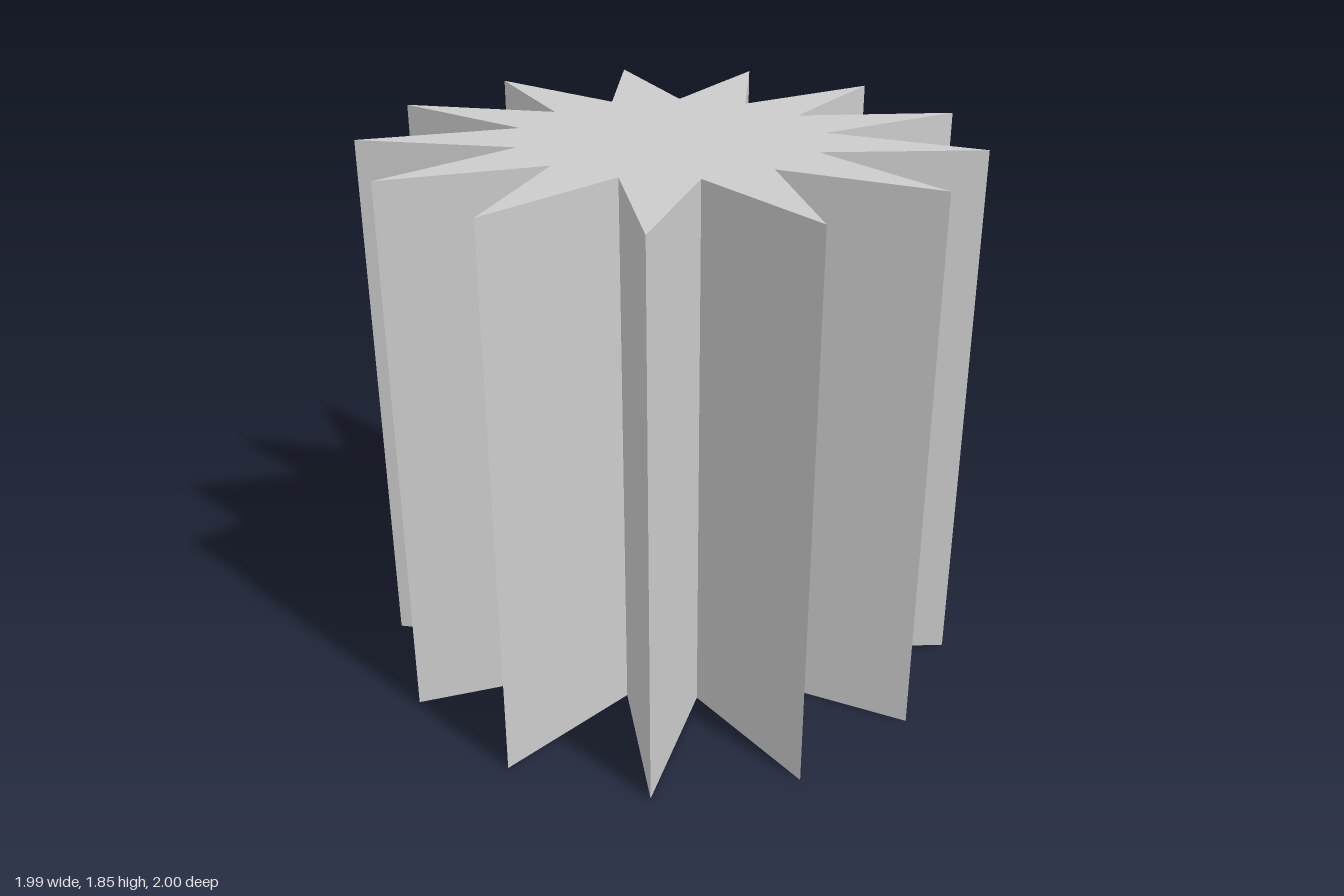
import * as THREE from 'three';

const POINTS = 13;
const OUTER = 1.0073;
const INNER = OUTER / 2;
const HEIGHT = 1.845;
// Odd number of points: shift so the bounds are centred on x = 0
const OFFSET_X = -OUTER * (1 - Math.cos(Math.PI / POINTS)) / 2;

// Star outline alternating between tips and valleys, first tip on +x
function starShape() {
  const corners = [];
  for (let i = 0; i < POINTS * 2; i++) {
    const r = i % 2 === 0 ? OUTER : INNER;
    const a = (i * Math.PI) / POINTS;
    corners.push(new THREE.Vector2(r * Math.cos(a) + OFFSET_X, r * Math.sin(a)));
  }
  return new THREE.Shape(corners);
}

export function createModel() {
  const group = new THREE.Group();
  group.name = 'starPrism';

  // Star column, extruded and stood upright
  const geometry = new THREE.ExtrudeGeometry(starShape(), { depth: HEIGHT, bevelEnabled: false });
  geometry.rotateX(-Math.PI / 2);
  const material = new THREE.MeshStandardMaterial({ color: 0xcccccc, flatShading: true });
  const column = new THREE.Mesh(geometry, material);
  column.name = 'starColumn';
  group.add(column);

  return group;
}
